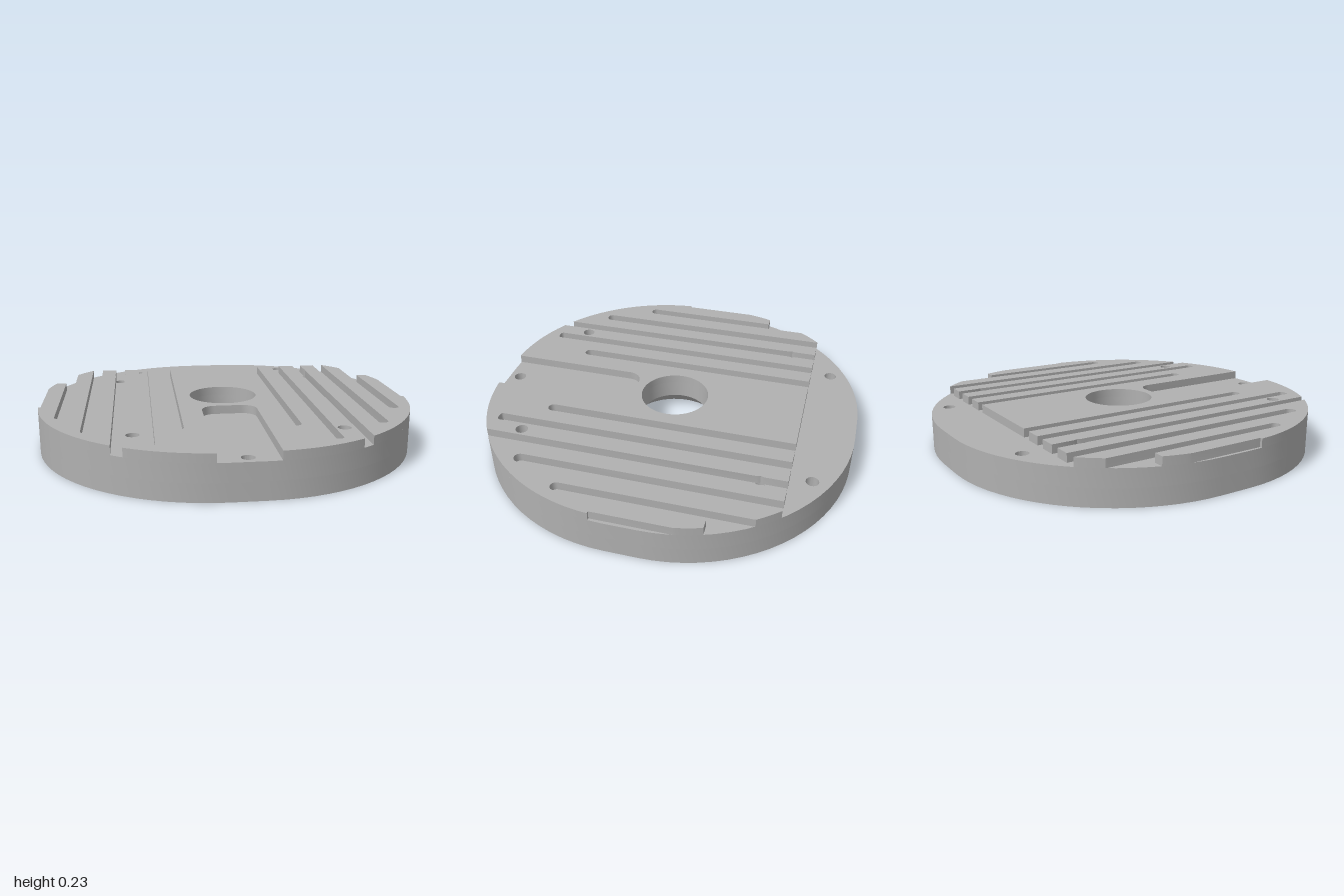
import * as THREE from 'three';
import { toCreasedNormals } from 'three/addons/utils/BufferGeometryUtils.js';

const C = 0.085, R = 0.915;            // plate outline: rounded square, corner centre and radius
const FLOOR = 0.185, TOP = 0.23;       // groove floor and raised surface
const RECESS = 0.092;                  // depth of the underside recesses
const BORE = 0.185, HOLE = 0.033, BACK = -0.71;

const plainHoles = [[-0.47, -0.82], [0.47, -0.82], [0, 0.94]];
const nutHoles = [[-0.577, -0.575], [0.577, -0.575], [-0.505, 0.695], [0.505, 0.695]];

const angleAtX = (x) => Math.acos((x - C) / R);
const angleAtZ = (z) => Math.asin((z - C) / R);

// Points are [x, z]. Arc of the outline in the quadrant given by the signs.
function rim(t0, t1, sx = 1, sz = 1, n = 20) {
  return Array.from({ length: n + 1 }, (_, i) => {
    const t = t0 + (t1 - t0) * i / n;
    return [sx * (C + R * Math.cos(t)), sz * (C + R * Math.sin(t))];
  });
}

// Groove open at the back, walked from its outer to its inner wall
function groove(xOut, xIn, zOpenOut, zOpenIn, zEnd, r) {
  const pts = [[xOut, zOpenOut]];
  for (const [cx, a] of [[xOut - r, 0], [xIn + r, Math.PI / 2]]) {
    for (let i = 0; i <= 5; i++) {
      const t = a + i * Math.PI / 10;
      pts.push([cx + r * Math.cos(t), zEnd - r + r * Math.sin(t)]);
    }
  }
  pts.push([xIn, zOpenIn]);
  return pts;
}

function circle(x, z, r, n = 24) {
  return Array.from({ length: n }, (_, i) => {
    const t = i * 2 * Math.PI / n;
    return [x + r * Math.cos(t), z + r * Math.sin(t)];
  });
}

const vectors = (pts) => pts.map(([x, z]) => new THREE.Vector2(x, z));

// Flat slab between two heights with through holes
function slab(name, outline, holes, y0, y1, material) {
  const shape = new THREE.Shape(vectors(outline));
  shape.holes = holes.map((h) => new THREE.Path(vectors(h)));
  const geo = new THREE.ExtrudeGeometry(shape, { depth: y1 - y0, bevelEnabled: false });
  geo.rotateX(Math.PI / 2).translate(0, y1, 0);
  const mesh = new THREE.Mesh(toCreasedNormals(geo, 0.45), material);
  mesh.name = name;
  return mesh;
}

export function createModel() {
  const group = new THREE.Group();
  group.name = 'groovedPlate';
  const metal = new THREE.MeshStandardMaterial({ color: 0xb0b0b0 });
  metal.name = 'grey metal';

  // Plate body in two layers
  const q = Math.PI / 2;
  const outline = [
    ...rim(0, q), ...rim(q, 0, -1, 1), ...rim(0, q, -1, -1), ...rim(q, 0, 1, -1),
  ];
  const rounds = (list) => list.map(([x, z]) => circle(x, z, HOLE));
  const hexes = nutHoles.map(([x, z]) => circle(x, z, 0.056, 6));
  group.add(slab('lowerPlate', outline,
    [circle(0, 0, 0.272, 64), ...rounds(plainHoles), ...hexes], 0, RECESS, metal));
  group.add(slab('upperPlate', outline,
    [circle(0, 0, BORE, 64), ...rounds(plainHoles), ...rounds(nutHoles)], RECESS, FLOOR, metal));

  // Countersink under the bore
  const sink = new THREE.Mesh(new THREE.LatheGeometry(
    [new THREE.Vector2(BORE, RECESS), new THREE.Vector2(0.272, 0)], 64), metal);
  sink.name = 'countersink';
  group.add(sink);

  // Central raised land: right half, front pocket to back edge, then mirrored
  const half = [];
  for (let i = 0; i <= 8; i++) {
    const t = -q + i * q / 8;
    half.push([0.07 + 0.075 * Math.cos(t), 0.305 + 0.075 * Math.sin(t)]);
  }
  half.push(
    ...rim(angleAtX(0.145), angleAtX(0.55)),
    [0.55, -0.5575], [0.544, -0.575], [0.55, -0.5925], [0.55, BACK],
    ...groove(0.46, 0.405, BACK, BACK, 0.86, 0.015),
    ...groove(0.315, 0.26, BACK, BACK, 0.635, 0.027),
  );
  const mirrored = (pts) => pts.map(([x, z]) => [-x, z]);
  group.add(slab('centreLand', [...half, ...mirrored(half).reverse()],
    [circle(0, 0, BORE, 64), ...rounds(nutHoles.slice(2))], FLOOR, TOP, metal));

  // Side lands, with a thin step cut at the outer rim
  const side = [
    ...rim(angleAtX(0.605), angleAtZ(0.15)),
    [0.985, 0.15],
    ...rim(angleAtX(0.985), angleAtZ(0.385), 1, -1, 6),
    ...groove(0.895, 0.84, -0.385, -0.595, 0.385, 0.027),
    ...rim(angleAtX(0.839), angleAtZ(-BACK), 1, -1, 6),
    ...groove(0.75, 0.69, BACK, BACK, 0.64, 0.029),
    [0.605, BACK], [0.605, -0.5925], [0.61, -0.575], [0.605, -0.5575],
  ];
  group.add(slab('leftLand', side, [], FLOOR, TOP, metal));
  group.add(slab('rightLand', mirrored(side), [], FLOOR, TOP, metal));
  return group;
}
